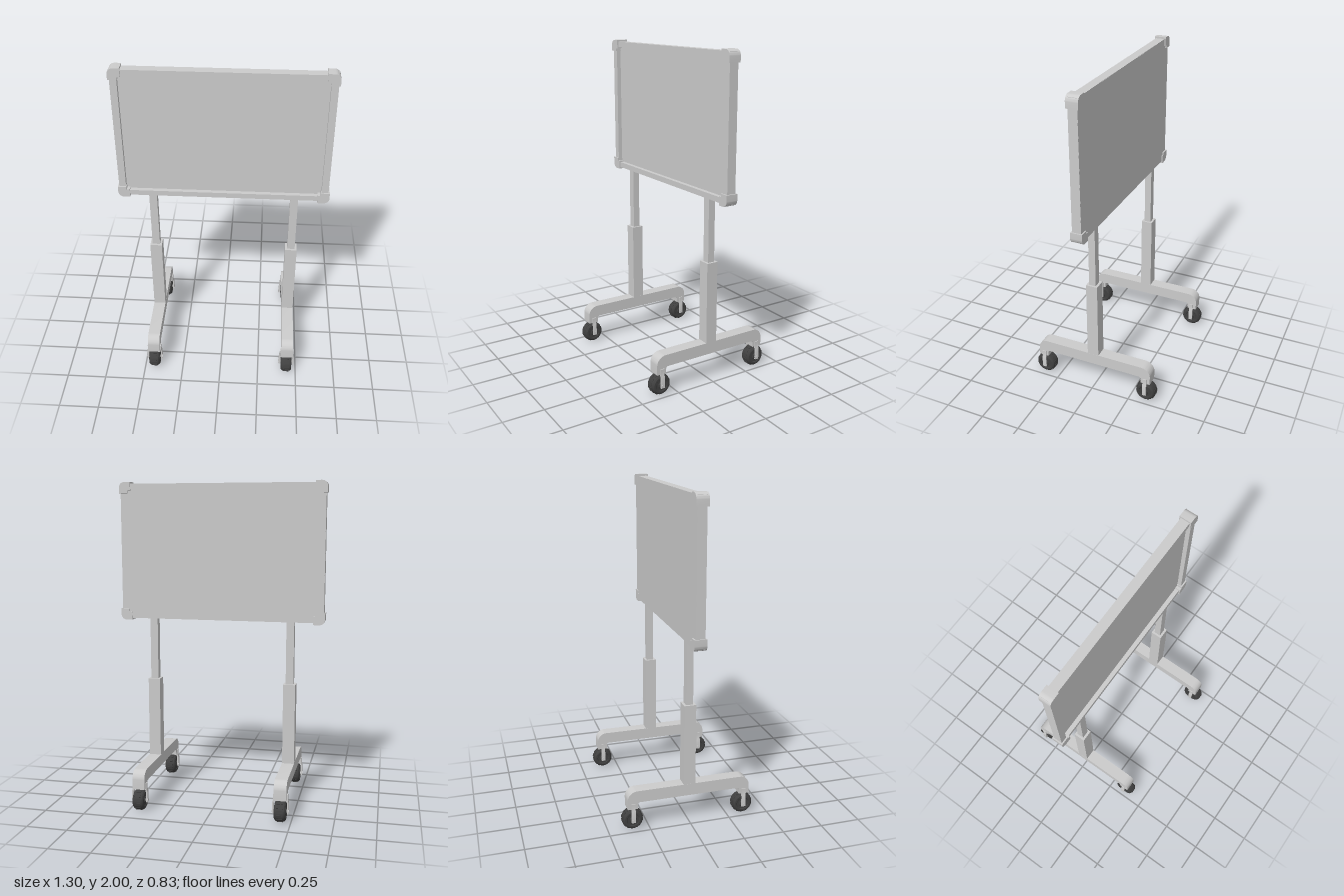
import * as THREE from 'three';
import { toCreasedNormals } from 'three/addons/utils/BufferGeometryUtils.js';

const grey = new THREE.MeshStandardMaterial({ color: 0xcccccc });
const rubber = new THREE.MeshStandardMaterial({ color: 0x404040 });

function add(parent, name, geometry, x = 0, y = 0, z = 0, material = grey) {
  const mesh = new THREE.Mesh(geometry, material);
  mesh.name = name;
  mesh.position.set(x, y, z);
  parent.add(mesh);
  return mesh;
}

// Extrude a shape, centred on its depth
function extrude(shape, depth) {
  const g = new THREE.ExtrudeGeometry(shape, { depth, bevelEnabled: false, curveSegments: 8 });
  g.translate(0, 0, -depth / 2);
  return toCreasedNormals(g, 0.6);
}

function rectangle(PathType, w, h) {
  const p = new PathType();
  p.moveTo(-w, -h);
  p.lineTo(w, -h);
  p.lineTo(w, h);
  p.lineTo(-w, h);
  p.closePath();
  return p;
}

// L-shaped corner cap with a rounded outer corner, at the signs sx, sy
function capShape(sx, sy) {
  const X = 0.648, Y = 0.431, long = 0.072, thick = 0.054, r = 0.035, k = r * 0.448;
  const s = new THREE.Shape();
  s.moveTo(sx * (X - long), sy * Y);
  s.lineTo(sx * (X - r), sy * Y);
  s.bezierCurveTo(sx * (X - k), sy * Y, sx * X, sy * (Y - k), sx * X, sy * (Y - r));
  s.lineTo(sx * X, sy * (Y - long));
  s.lineTo(sx * (X - thick), sy * (Y - long));
  s.lineTo(sx * (X - thick), sy * (Y - thick));
  s.lineTo(sx * (X - long), sy * (Y - thick));
  s.closePath();
  return s;
}

function makeBoard() {
  const board = new THREE.Group();
  board.name = 'board';
  board.position.y = 1.569;
  const frame = rectangle(THREE.Shape, 0.64, 0.42);
  frame.holes.push(rectangle(THREE.Path, 0.598, 0.386));
  add(board, 'frame', extrude(frame, 0.056));
  add(board, 'panel', new THREE.BoxGeometry(1.278, 0.838, 0.03), 0, 0, -0.0135);
  for (const sx of [-1, 1]) for (const sy of [-1, 1]) {
    add(board, 'cornerCap', extrude(capShape(sx, sy), 0.074));
  }
  return board;
}

// Foot bar: side profile with both ends curving down
function footGeometry() {
  const s = new THREE.Shape();
  s.moveTo(-0.384, 0.138);
  s.lineTo(-0.322, 0.138);
  s.lineTo(-0.322, 0.165);
  s.quadraticCurveTo(-0.322, 0.18, -0.307, 0.18);
  s.lineTo(0.307, 0.18);
  s.quadraticCurveTo(0.322, 0.18, 0.322, 0.165);
  s.lineTo(0.322, 0.138);
  s.lineTo(0.384, 0.138);
  s.lineTo(0.384, 0.194);
  s.absarc(0.324, 0.194, 0.06, 0, Math.PI / 2, false);
  s.lineTo(-0.324, 0.254);
  s.absarc(-0.324, 0.194, 0.06, Math.PI / 2, Math.PI, false);
  s.closePath();
  return extrude(s, 0.076).rotateY(Math.PI / 2);
}

// Fork plate, cranked outwards around the wheel
function forkGeometry(side) {
  const s = new THREE.Shape();
  const pts = [[0.036, 0.172], [0.044, 0.172], [0.044, 0.135], [0.049, 0.12], [0.049, 0.052],
    [0.04, 0.052], [0.04, 0.115], [0.036, 0.13]];
  s.setFromPoints(pts.map(([x, y]) => new THREE.Vector2(side * x, y)));
  return extrude(s, 0.025);
}

function makeCaster() {
  const caster = new THREE.Group();
  caster.name = 'caster';
  // Tyre with rounded shoulders and recessed hub faces
  const half = [[0.018, 0.036], [0.022, 0.03], [0.036, 0.03], [0.04, 0.034], [0.051, 0.034],
    [0.059, 0.027], [0.062, 0.016]];
  const profile = [[0.001, 0.036], ...half];
  const points = [
    ...profile.map(([r, w]) => new THREE.Vector2(r, -w)),
    ...profile.slice().reverse().map(([r, w]) => new THREE.Vector2(r, w)),
  ];
  const tyre = toCreasedNormals(new THREE.LatheGeometry(points, 28), 0.5).rotateZ(Math.PI / 2);
  add(caster, 'wheel', tyre, 0, 0.065, 0, rubber);
  // Tread blocks
  for (let i = 0; i < 14; i++) {
    const a = (i / 14) * Math.PI * 2;
    const block = add(caster, 'tread', new THREE.BoxGeometry(0.036, 0.006, 0.016),
      0, 0.065 + Math.cos(a) * 0.0615, Math.sin(a) * 0.0615, rubber);
    block.rotation.x = a;
  }
  for (const side of [-1, 1]) add(caster, 'fork', forkGeometry(side));
  add(caster, 'axle', new THREE.CylinderGeometry(0.01, 0.01, 0.102, 16).rotateZ(Math.PI / 2), 0, 0.065, 0);
  return caster;
}

function makeLeg(x) {
  const leg = new THREE.Group();
  leg.name = x > 0 ? 'leftLeg' : 'rightLeg';
  leg.position.x = x;
  add(leg, 'upperPost', new THREE.BoxGeometry(0.048, 0.42, 0.043), 0, 0.95, 0);
  add(leg, 'lowerPost', new THREE.BoxGeometry(0.075, 0.56, 0.073), 0, 0.48, 0);
  add(leg, 'foot', footGeometry());
  for (const z of [-0.35, 0.35]) {
    const caster = makeCaster();
    caster.position.z = z;
    leg.add(caster);
  }
  return leg;
}

export function createModel() {
  const model = new THREE.Group();
  model.name = 'mobileBoard';
  model.add(makeBoard(), makeLeg(0.436), makeLeg(-0.436));
  return model;
}
